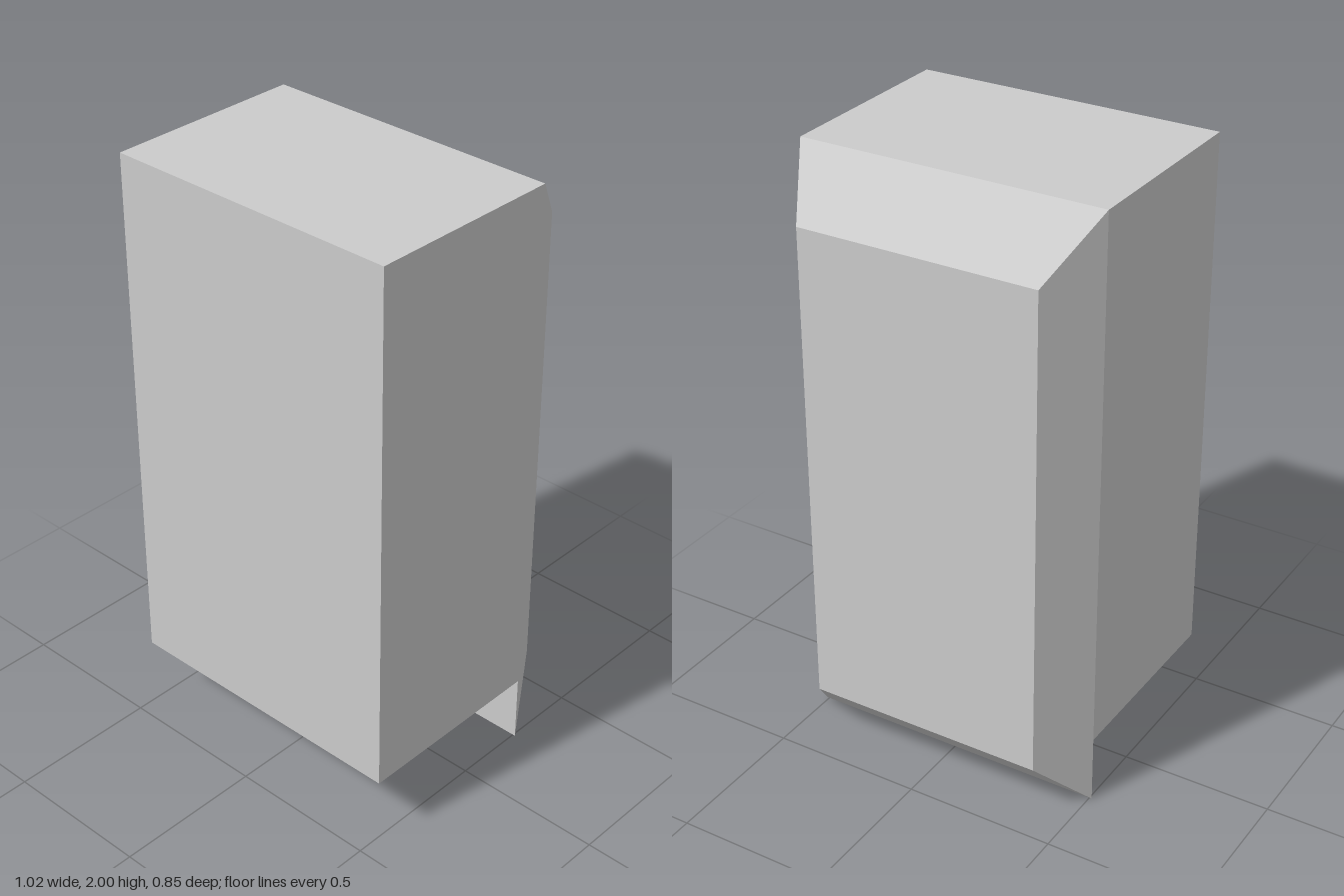
import * as THREE from 'three';

const HALF_W = 0.508, HEIGHT = 2, FRONT = 0.425, SEAM = -0.242, BACK = -0.425, BODY_BASE = 0.23;

export function createModel() {
  const group = new THREE.Group();
  const material = new THREE.MeshStandardMaterial({ color: 0xcccccc, flatShading: true });

  const add = (name, geometry, y, z) => {
    const mesh = new THREE.Mesh(geometry, material);
    mesh.name = name;
    mesh.position.set(0, y, z);
    group.add(mesh);
  };

  // Main block, raised above the lower edge of the back panel
  const bodyHeight = HEIGHT - BODY_BASE;
  add('body', new THREE.BoxGeometry(HALF_W * 2, bodyHeight, FRONT - SEAM),
    BODY_BASE + bodyHeight / 2, (FRONT + SEAM) / 2);

  // Back panel: a full-height slab whose rear face is drawn in to bevel all four sides
  const panel = new THREE.BoxGeometry(HALF_W * 2, HEIGHT, SEAM - BACK);
  const p = panel.attributes.position;
  for (let i = 0; i < p.count; i++) {
    if (p.getZ(i) < 0) {
      p.setX(i, Math.sign(p.getX(i)) * 0.4);
      p.setY(i, Math.sign(p.getY(i)) * 0.81);
    }
  }
  panel.computeVertexNormals();
  add('bevelledBackPanel', panel, HEIGHT / 2, (SEAM + BACK) / 2);

  return group;
}
